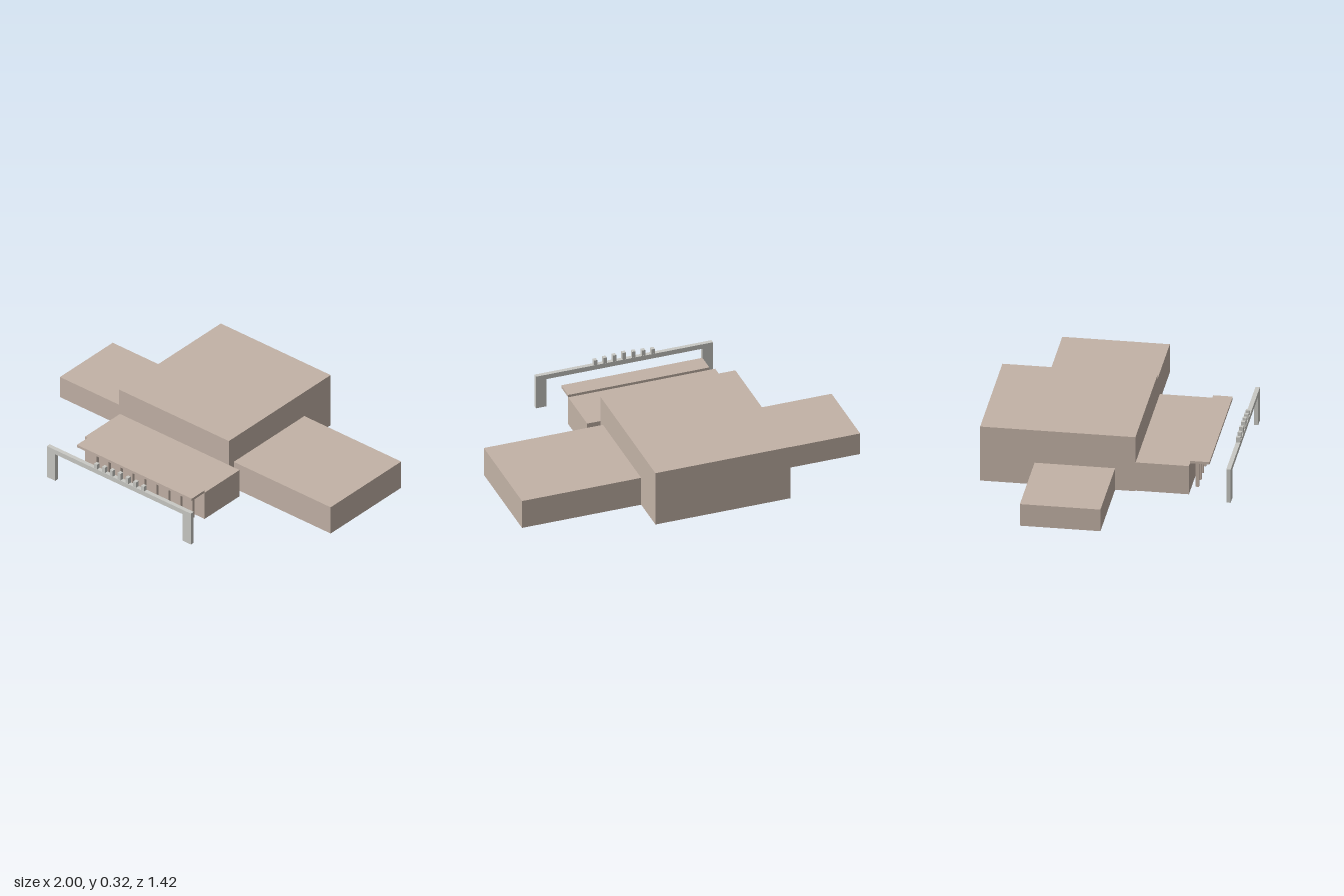
import * as THREE from 'three';

const stone = new THREE.MeshStandardMaterial({ color: 0xc2b2a6, side: THREE.DoubleSide });
stone.name = 'warm stone';
const grey = new THREE.MeshStandardMaterial({ color: 0xc9c9c4 });
grey.name = 'pale grey';

// Box given by its extents, optionally without a floor
function block(name, mat, [x0, x1], [y0, y1], [z0, z1], open = false) {
  const geo = new THREE.BoxGeometry(x1 - x0, y1 - y0, z1 - z0);
  if (open) {
    const index = Array.from(geo.index.array);
    index.splice(18, 6); // bottom face
    geo.setIndex(index);
    geo.clearGroups();
  }
  geo.translate((x0 + x1) / 2, (y0 + y1) / 2, (z0 + z1) / 2);
  const mesh = new THREE.Mesh(geo, mat);
  mesh.name = name;
  return mesh;
}

export function createModel() {
  const model = new THREE.Group();
  model.name = 'building';
  const site = new THREE.Group();
  site.name = 'site';
  site.rotation.y = -0.0375; // the whole plan is turned slightly
  model.add(site);

  // Hollow building volumes
  site.add(
    block('mainHall', stone, [-0.486, 0.294], [0, 0.325], [-0.692, 0.158], true),
    block('leftWing', stone, [0.294, 0.982], [0, 0.17], [-0.472, 0.117], true),
    block('rightWing', stone, [-1.0, -0.486], [0, 0.13], [-0.394, 0.047], true),
    block('frontBlock', stone, [-0.479, 0.37], [0, 0.17], [0.158, 0.45], true)
  );

  // Entrance canopy on a row of slim columns
  site.add(block('canopy', stone, [-0.445, 0.37], [0.17, 0.185], [0.45, 0.557]));
  const columns = new THREE.Group();
  columns.name = 'columns';
  for (let i = 0; i < 9; i++) {
    const x = -0.372 + i * 0.085;
    columns.add(block('column', stone, [x - 0.009, x + 0.009], [0, 0.17], [0.471, 0.489]));
  }
  site.add(columns);

  // Free-standing gate in front, with small blocks along its beam
  const gate = new THREE.Group();
  gate.name = 'gate';
  const depth = [0.665, 0.689];
  gate.add(
    block('gateBeam', grey, [-0.547, 0.476], [0.172, 0.2], depth),
    block('gateLegRight', grey, [-0.547, -0.487], [0, 0.172], depth),
    block('gateLegLeft', grey, [0.416, 0.476], [0, 0.172], depth)
  );
  for (let i = -3; i <= 3; i++) {
    const x = -0.035 + i * 0.0555;
    const top = 0.242 - Math.abs(i) * 0.004;
    gate.add(block('gateBlock', grey, [x - 0.01, x + 0.01], [0.2, top], [0.666, 0.688]));
  }
  site.add(gate);

  return model;
}
